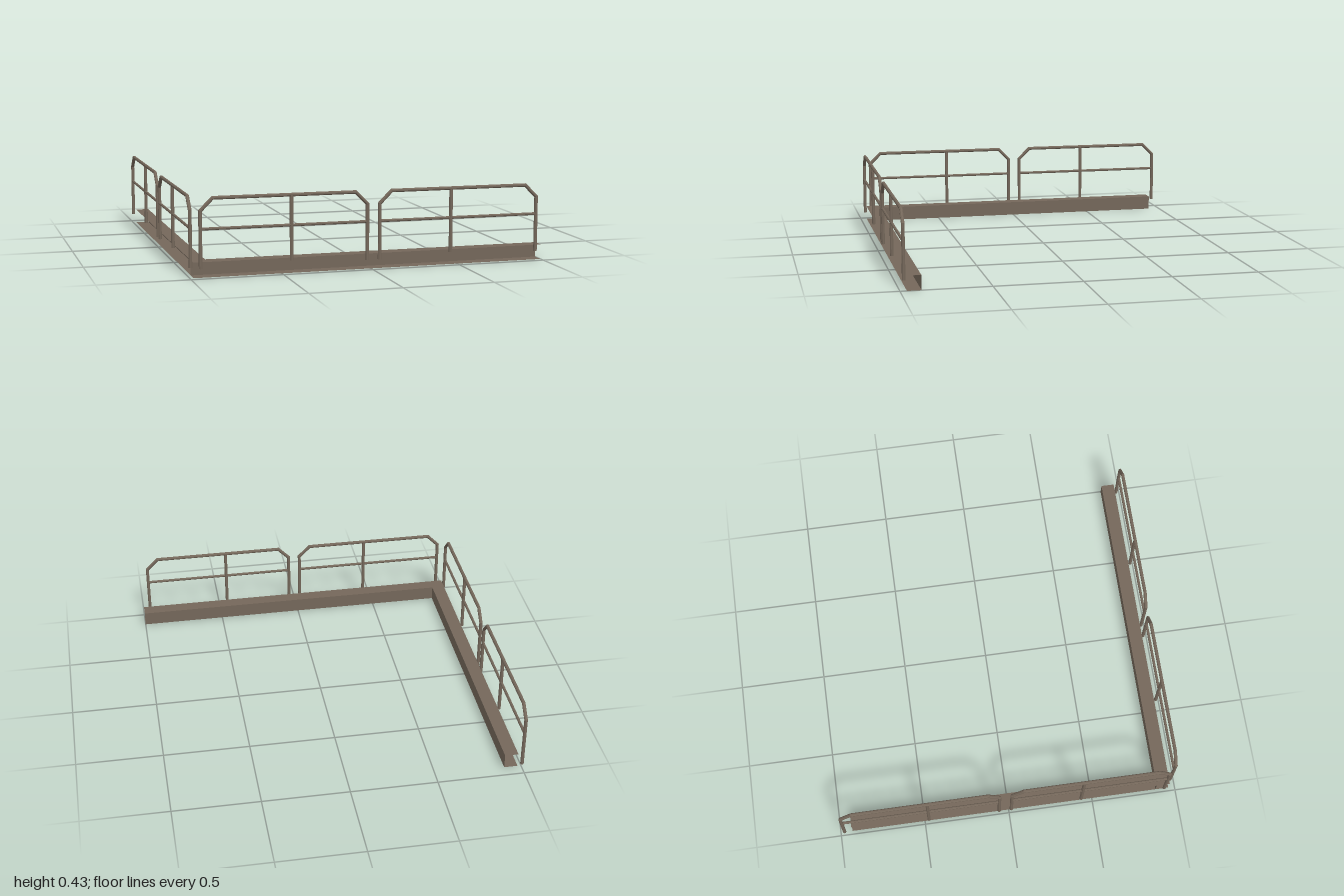
import * as THREE from 'three';

const steel = new THREE.MeshStandardMaterial({ color: 0x74675a, side: THREE.DoubleSide, flatShading: true });
steel.name = 'brown steel';
const SIDES = 8, R = 0.01;

// Tube along a flat polyline with mitred bends and closed ends
function mitredTube(points, radius) {
  const path = points.map(([x, y]) => new THREE.Vector2(x, y));
  const last = path.length - 1, pos = [], idx = [];
  path.forEach((p, i) => {
    const a = path[Math.min(i + 1, last)].clone().sub(path[Math.min(i, last - 1)]).normalize();
    const b = path[Math.max(i, 1)].clone().sub(path[Math.max(i - 1, 0)]).normalize();
    const t = a.clone().add(b).normalize();
    const stretch = radius / t.dot(a);
    for (let k = 0; k < SIDES; k++) {
      const ang = ((k + 0.5) / SIDES) * Math.PI * 2;
      const c = Math.cos(ang) * stretch;
      pos.push(p.x - t.y * c, p.y + t.x * c, Math.sin(ang) * radius);
      if (i < last) {
        const q = i * SIDES + k, r = i * SIDES + (k + 1) % SIDES;
        idx.push(q, q + SIDES, r, r, q + SIDES, r + SIDES);
      }
    }
  });
  for (let k = 1; k < SIDES - 1; k++) {
    const e = last * SIDES;
    idx.push(0, k, k + 1, e, e + k + 1, e + k);
  }
  const g = new THREE.BufferGeometry();
  g.setAttribute('position', new THREE.Float32BufferAttribute(pos, 3));
  g.setIndex(idx);
  g.computeVertexNormals();
  return g;
}

function part(parent, name, geometry) {
  const mesh = new THREE.Mesh(geometry, steel);
  mesh.name = name;
  parent.add(mesh);
  return mesh;
}

// One railing panel: bent outer frame, centre post and middle rail
function railing(name, x0, x1, mid) {
  const g = new THREE.Group();
  g.name = name;
  const top = 0.425, shoulder = 0.358, cut = 0.067, foot = 0.05;
  part(g, 'railFrame', mitredTube([
    [x0, foot], [x0, shoulder], [x0 + cut, top],
    [x1 - cut, top], [x1, shoulder], [x1, foot],
  ], R));
  part(g, 'centrePost', mitredTube([[mid, 0.07], [mid, top]], R));
  part(g, 'middleRail', mitredTube([[x0, 0.262], [x1, 0.262]], 0.008));
  return g;
}

// Sheet channel along x: upright web at z = 0, flanges reaching out to +z
function channel(name, x0, x1) {
  const g = new THREE.Group();
  g.name = name;
  const len = x1 - x0, mid = (x0 + x1) / 2, h = 0.083, depth = 0.078;
  part(g, 'web', new THREE.PlaneGeometry(len, h)).position.set(mid, h / 2, 0);
  for (const [label, y] of [['bottomFlange', 0], ['topFlange', h]]) {
    const flange = part(g, label, new THREE.PlaneGeometry(len, depth));
    flange.rotation.x = -Math.PI / 2;
    flange.position.set(mid, y, depth / 2);
  }
  return g;
}

export function createModel() {
  const model = new THREE.Group();
  model.name = 'cornerRailing';

  // Front run
  const front = new THREE.Group();
  front.name = 'frontRun';
  const frontBeam = channel('frontBeam', -0.98, 1);
  frontBeam.position.z = 0.885;
  const frontRails = new THREE.Group();
  frontRails.name = 'frontRailings';
  frontRails.add(railing('frontRailingA', -0.944, -0.025, -0.449), railing('frontRailingB', 0.045, 0.96, 0.455));
  frontRails.position.z = 0.974;
  front.add(frontBeam, frontRails);

  // Side run: built along x, then turned so that local +x points to the back
  const side = new THREE.Group();
  side.name = 'sideRun';
  const sideBeam = channel('sideBeam', -0.885, 0.932);
  sideBeam.rotation.y = Math.PI / 2;
  sideBeam.scale.z = -1; // flanges face outwards
  sideBeam.position.x = -0.902;
  const sideRails = new THREE.Group();
  sideRails.name = 'sideRailings';
  sideRails.add(railing('sideRailingA', -0.931, -0.014, -0.43), railing('sideRailingB', 0.058, 0.975, 0.474));
  sideRails.rotation.y = Math.PI / 2;
  sideRails.position.x = -0.99;
  side.add(sideBeam, sideRails);

  model.add(front, side);
  return model;
}
